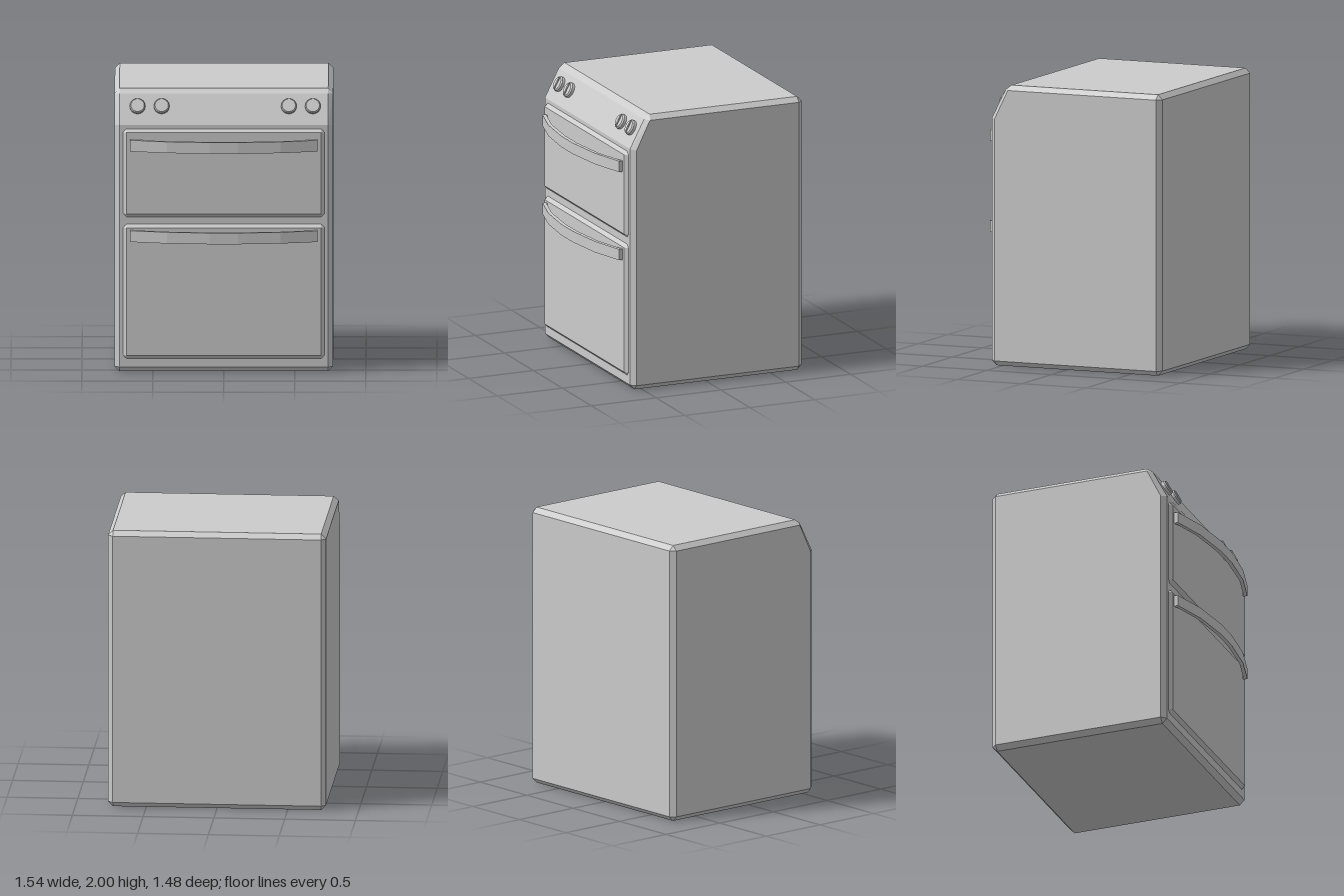
import * as THREE from 'three';
import { ConvexGeometry } from 'three/addons/geometries/ConvexGeometry.js';

const material = new THREE.MeshStandardMaterial({ color: 0xcccccc, flatShading: true, side: THREE.DoubleSide });

function part(name, geometry) {
  const mesh = new THREE.Mesh(geometry, material);
  mesh.name = name;
  return mesh;
}

// Convex solid mirrored in x from [x, y, z] points
function mirroredHull(points) {
  return new ConvexGeometry(points.flatMap(([x, y, z]) =>
    [new THREE.Vector3(x, y, z), new THREE.Vector3(-x, y, z)]));
}

// Cabinet with chamfered edges and a sloped control panel
function cabinet() {
  const X = 0.77, x = 0.735;
  const points = [
    // sides
    [X, 0.035, -0.705], [X, 0.035, 0.548], [X, 1.755, 0.548], [X, 1.965, 0.445], [X, 1.965, -0.705],
    // back
    [x, 0.035, -0.74], [x, 1.965, -0.74],
    // bottom
    [x, 0, -0.705], [x, 0, 0.548],
    // front and sloped panel
    [x, 0.035, 0.583], [x, 1.762, 0.583], [x, 1.968, 0.475],
    // top
    [x, 2, 0.432], [x, 2, -0.705],
  ];
  return part('cabinet', mirroredHull(points));
}

// Raised oven door with chamfered front rim
function door(name, bottom, top) {
  const c = 0.025, w = 0.71, points = [];
  for (const [y, s] of [[bottom, 1], [top, -1]]) {
    points.push([w, y, 0.56], [w, y + s * c, 0.582], [w - c, y, 0.582], [w - c, y + s * c, 0.607]);
  }
  return part(name, mirroredHull(points));
}

// Bowed bar handle, drawn in plan and extruded upward
function handle(name, y) {
  const outer = [[0.66, 0.59], [0.66, 0.635], [0.4, 0.706], [0.1, 0.74]];
  const inner = [[0.1, 0.711], [0.4, 0.679], [0.635, 0.615], [0.635, 0.59]];
  const flip = (list) => list.map(([x, z]) => [-x, z]).reverse();
  const outline = [...outer, ...flip(outer), ...flip(inner), ...inner];
  const shape = new THREE.Shape(outline.map(([x, z]) => new THREE.Vector2(x, -z)));
  const geometry = new THREE.ExtrudeGeometry(shape, { depth: 0.08, bevelEnabled: false });
  geometry.rotateX(-Math.PI / 2);
  const mesh = part(name, geometry);
  mesh.position.y = y;
  return mesh;
}

// Round control knob with a narrow grip ridge, axis along local y
function knob(x) {
  const group = new THREE.Group();
  group.name = 'knob';
  const profile = [[0, -0.005], [0.055, -0.005], [0.055, 0.02], [0.047, 0.03], [0, 0.03]];
  group.add(part('knobDial', new THREE.LatheGeometry(profile.map(([r, h]) => new THREE.Vector2(r, h)), 16)));
  const ridge = part('knobRidge', new THREE.BoxGeometry(0.014, 0.012, 0.095));
  ridge.position.y = 0.03;
  group.add(ridge);
  group.position.set(x, 1.882, 0.52);
  group.rotation.x = Math.atan2(0.206, 0.108);
  return group;
}

export function createModel() {
  const model = new THREE.Group();
  model.name = 'oven';
  model.add(
    cabinet(),
    door('upperDoor', 1.105, 1.735),
    door('lowerDoor', 0.095, 1.055),
    handle('upperHandle', 1.58),
    handle('lowerHandle', 0.935),
  );
  for (const x of [-0.608, -0.438, 0.458, 0.627]) model.add(knob(x));
  return model;
}
